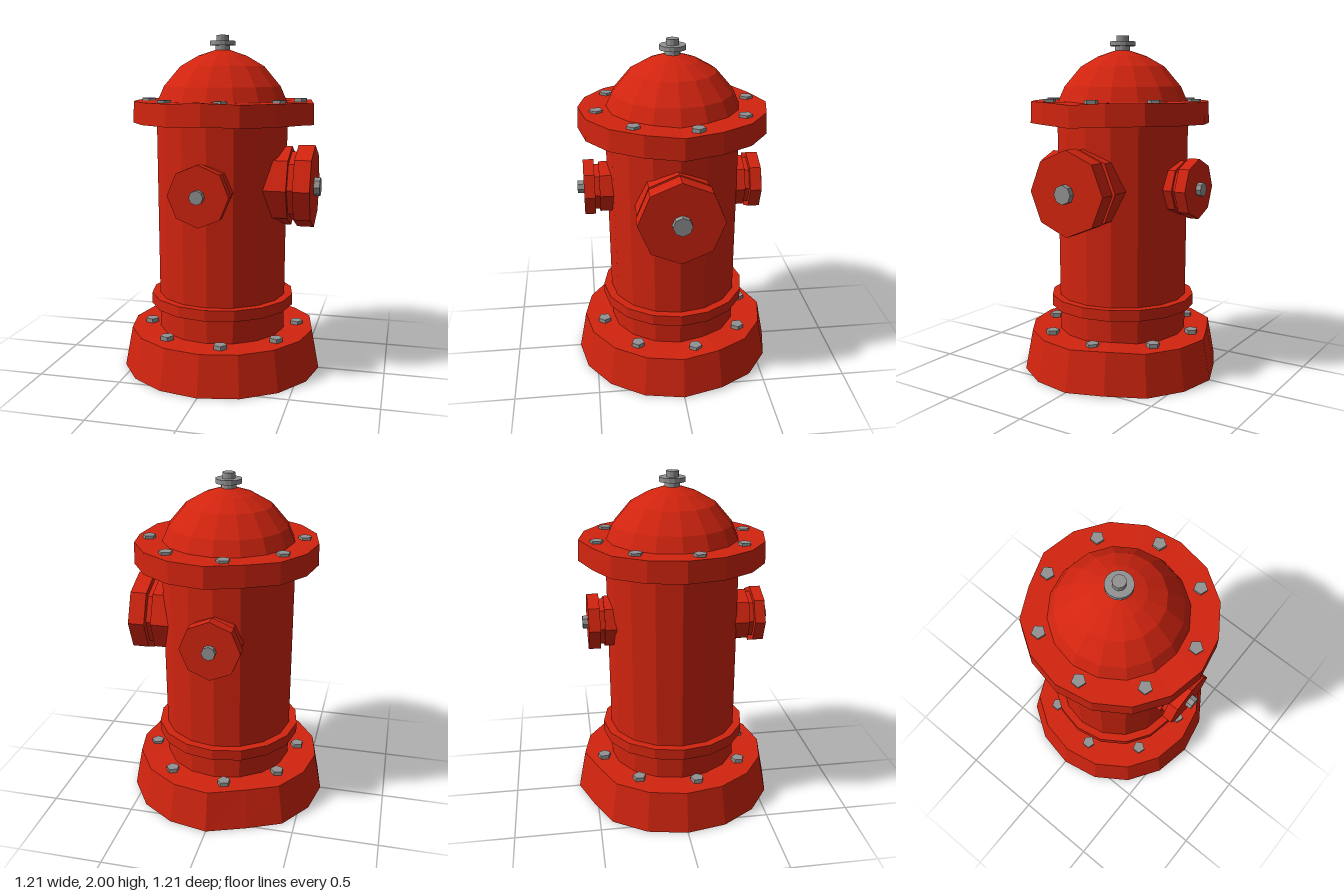
import * as THREE from 'three';

const SIDES = 16;

export function createModel() {
  const red = new THREE.MeshStandardMaterial({ name: 'redPaint', color: 0xd2240f, flatShading: true });
  const steel = new THREE.MeshStandardMaterial({ name: 'greySteel', color: 0x929292, flatShading: true });
  const model = new THREE.Group();
  model.name = 'fireHydrant';

  const add = (parent, name, geometry, material) => {
    const mesh = new THREE.Mesh(geometry, material);
    mesh.name = name;
    parent.add(mesh);
    return mesh;
  };

  // Upright drum between two heights
  const drum = (rBottom, rTop, y0, y1, sides = SIDES, start = 0) =>
    new THREE.CylinderGeometry(rTop, rBottom, y1 - y0, sides, 1, false, start).translate(0, (y0 + y1) / 2, 0);

  // Shifts the rim corners at one step round the drum, for a battered look
  const dent = (geometry, step, dx, dy, dz) => {
    const p = geometry.attributes.position;
    const a = (step / SIDES) * Math.PI * 2;
    for (let i = 0; i < p.count; i++) {
      const x = p.getX(i), z = p.getZ(i), r = Math.hypot(x, z);
      if (r > 0.1 && (x * Math.sin(a) + z * Math.cos(a)) / r > 0.99) {
        p.setXYZ(i, x + dx, p.getY(i) + dy, z + dz);
      }
    }
    return geometry;
  };

  // Base, barrel and ring
  const base = drum(0.605, 0.56, 0, 0.24);
  dent(base, 9, 0, 0, 0.04);
  dent(base, 5, 0, 0.015, 0);
  add(model, 'base', base, red);
  add(model, 'barrel', drum(0.385, 0.392, 0.23, 1.52), red);
  add(model, 'barrelRing', drum(0.435, 0.435, 0.39, 0.455), red);

  // Top flange, slightly uneven
  const flange = drum(0.537, 0.533, 1.495, 1.62).scale(1, 1, 1.02);
  dent(flange, 9, 0, 0, 0.03);
  dent(flange, 4, 0, -0.012, 0);
  dent(flange, 0, 0, 0.008, 0);
  add(model, 'topFlange', flange, red).position.x = 0.01;

  // Dome
  const dome = [[0.39, 1.61], [0.348, 1.705], [0.25, 1.82], [0.145, 1.88], [0.05, 1.912], [0, 1.915]]
    .map(([r, y]) => new THREE.Vector2(r, y));
  add(model, 'dome', new THREE.LatheGeometry(dome, SIDES), red);

  // Operating nut on the dome
  const nut = new THREE.Group();
  nut.name = 'topNut';
  model.add(nut);
  add(nut, 'nutStem', drum(0.044, 0.044, 1.9, 1.942, 12), steel);
  add(nut, 'nutWasher', drum(0.076, 0.076, 1.94, 1.966, 16), steel);
  add(nut, 'nutHead', drum(0.037, 0.037, 1.96, 2.0, 12), steel);

  // Rings of five-sided bolts on both flanges
  [['baseBolt', 0.22, 0.265], ['flangeBolt', 1.6, 1.635]].forEach(([name, y0, y1]) => {
    for (let i = 0; i < 8; i++) {
      const a = -0.185 + (i * Math.PI) / 4;
      const bolt = add(model, name, drum(0.04, 0.04, y0, y1, 5, Math.PI / 2), steel);
      bolt.position.set(0.01 + 0.45 * Math.cos(a), 0, 0.45 * Math.sin(a));
    }
  });

  // Outlets: eight-sided collar, groove, cap and bolt, built facing +z then turned
  const outlet = (name, turn, sizes, bolt) => {
    const group = new THREE.Group();
    group.name = name;
    group.rotation.y = turn;
    model.add(group);
    const part = (label, [r, z0, z1], material) =>
      add(group, label, drum(r, r, z0, z1, 8).rotateX(Math.PI / 2), material);
    part('outletCollar', sizes[0], red);
    part('outletGroove', sizes[1], red);
    part('outletCap', sizes[2], red);
    part('outletBolt', bolt, steel);
    group.position.y = 1.125;
    return group;
  };
  const front = outlet('frontOutlet', 0,
    [[0.158, 0.2, 0.44], [0.143, 0.43, 0.475], [0.174, 0.467, 0.53]], [0.04, 0.52, 0.568]);
  front.position.x = -0.01;
  const back = outlet('backOutlet', Math.PI,
    [[0.158, 0.2, 0.416], [0.143, 0.41, 0.45], [0.174, 0.443, 0.51]], [0.04, 0.5, 0.54]);
  back.position.x = -0.01;
  const side = outlet('leftLargeOutlet', Math.PI / 2,
    [[0.235, 0.2, 0.425], [0.203, 0.41, 0.47], [0.243, 0.462, 0.56]], [0.055, 0.55, 0.595]);
  side.position.z = 0.015;

  return model;
}
